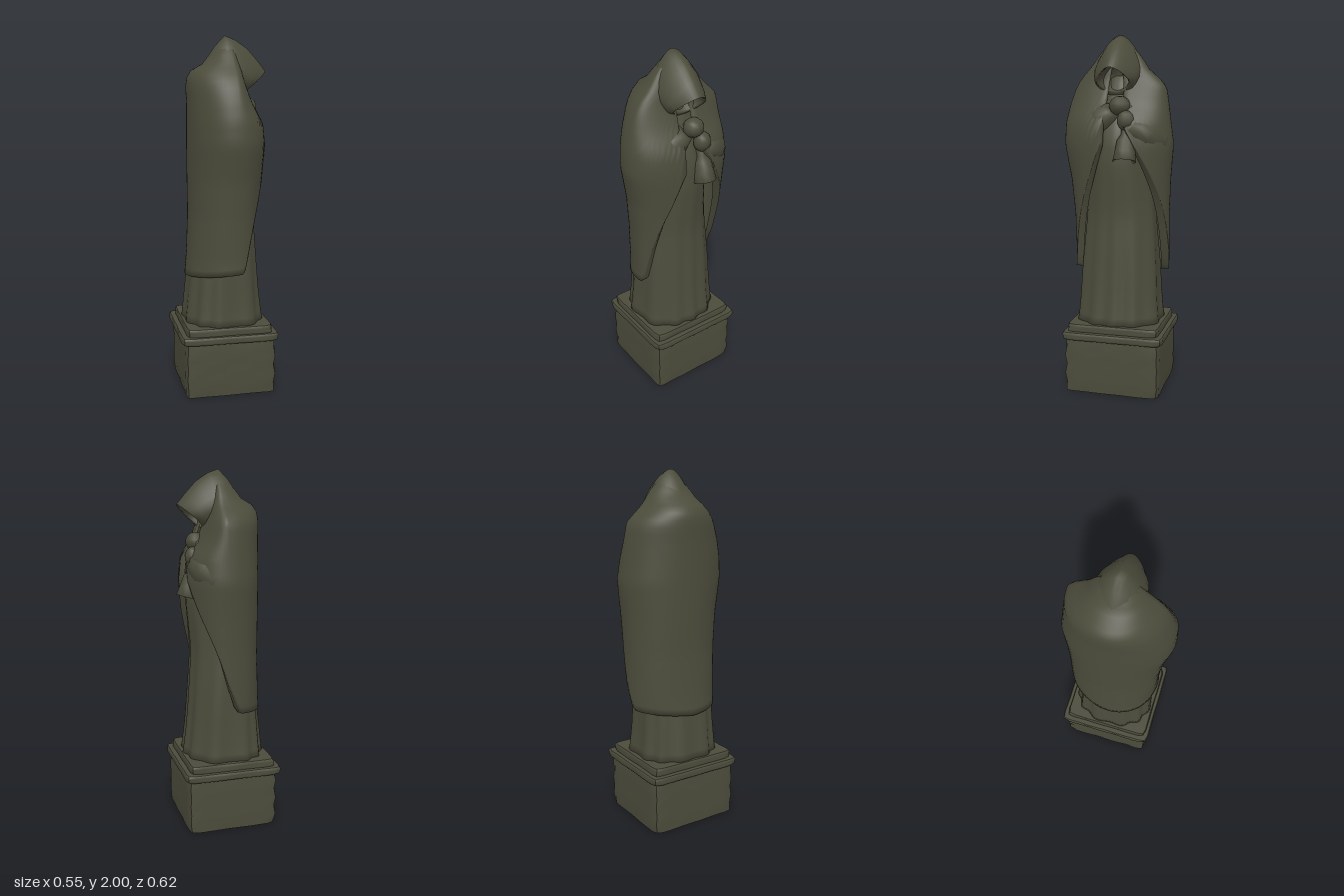
import * as THREE from 'three';

const stone = new THREE.MeshStandardMaterial({ color: 0x4c4c3c, side: THREE.DoubleSide });
stone.name = 'dark stone';

const lerp = THREE.MathUtils.lerp;
const V = (x, y, z) => new THREE.Vector3(x, y, z);

// Linear lookup in a table of [y, ...values]
function sample(keys, y) {
  let i = 0;
  while (i < keys.length - 2 && y > keys[i + 1][0]) i++;
  const t = THREE.MathUtils.clamp((y - keys[i][0]) / (keys[i + 1][0] - keys[i][0]), 0, 1);
  return keys[i].map((v, k) => lerp(v, keys[i + 1][k], t));
}

// Skin over rows of points; closed rows wrap around, caps fill the ends
function loft(rows, closed = true, caps = false) {
  const n = rows[0].length, pos = [], idx = [];
  rows.forEach(r => r.forEach(p => pos.push(p.x, p.y, p.z)));
  for (let j = 0; j < rows.length - 1; j++)
    for (let i = 0; i < (closed ? n : n - 1); i++) {
      const a = j * n + i, b = j * n + (i + 1) % n;
      idx.push(a, a + n, b, b, a + n, b + n);
    }
  if (caps) [0, rows.length - 1].forEach((j, end) => {
    const c = rows[j].reduce((s, p) => s.add(p), V(0, 0, 0)).divideScalar(n);
    const ci = pos.length / 3;
    pos.push(c.x, c.y, c.z);
    for (let i = 0; i < n; i++) {
      const a = j * n + i, b = j * n + (i + 1) % n;
      idx.push(...(end ? [ci, b, a] : [ci, a, b]));
    }
  });
  const g = new THREE.BufferGeometry();
  g.setAttribute('position', new THREE.Float32BufferAttribute(pos, 3));
  g.setIndex(idx);
  g.computeVertexNormals();
  return g;
}

// Point of a body section: [y, xBack, xFront, zRight, zLeft], widest at xw, boxier where a power is below 1
function sectionPoint(k, a, xw, scale, frontPower, backPower) {
  const c = Math.cos(a), s = Math.sin(a) * scale;
  const x = c > 0 ? c ** frontPower * (k[2] - xw) : -((-c) ** backPower) * (xw - k[1]);
  return V(xw + x * scale, k[0], s * (s > 0 ? k[4] : -k[3]));
}

// Weathered stone slab with softened rims and corners
function slab(x0, x1, y0, y1, z0, z1, wear) {
  const g = new THREE.BoxGeometry(x1 - x0, y1 - y0, z1 - z0, 12, 6, 12);
  const p = g.attributes.position;
  const hx = (x1 - x0) / 2, hy = (y1 - y0) / 2, hz = (z1 - z0) / 2;
  for (let i = 0; i < p.count; i++) {
    const x = p.getX(i), y = p.getY(i), z = p.getZ(i);
    const corner = Math.abs(x) > hx * 0.99 && Math.abs(z) > hz * 0.99;
    const rim = Math.abs(y) > hy * 0.99 ? 0.018 : 0;
    const chip = wear * (0.5 + 0.5 * Math.sin(y * 60 + x * 23 + z * 31));
    const w = 1 - rim - chip * 0.5 - (corner ? 0.025 + chip : 0);
    p.setXYZ(i, x * w, y, z * w);
  }
  g.translate(x0 + hx, y0 + hy, z0 + hz);
  g.computeVertexNormals();
  return g;
}

// Tapered limb: stations of [x, y, z, radius]
function limb(stations) {
  const dir = V(...stations.at(-1)).sub(V(...stations[0])).normalize();
  const u = V(0, 1, 0).cross(dir).normalize(), w = dir.clone().cross(u);
  return loft(stations.map(([x, y, z, r]) => Array.from({ length: 14 }, (_, i) => {
    const a = -i / 14 * Math.PI * 2;
    return V(x, y, z).addScaledVector(u, Math.cos(a) * r).addScaledVector(w, Math.sin(a) * r);
  })), true, true);
}

export function createModel() {
  const model = new THREE.Group();
  model.name = 'hoodedStatue';
  const add = (name, g) => {
    const m = new THREE.Mesh(g, stone);
    m.name = name;
    model.add(m);
    return m;
  };

  // Pedestal
  add('pedestalBlock', slab(-0.258, 0.258, 0, 0.315, -0.278, 0.268, 0.02));
  add('pedestalCornice', slab(-0.279, 0.274, 0.305, 0.346, -0.297, 0.281, 0.015));
  add('pedestalStep', slab(-0.247, 0.242, 0.34, 0.388, -0.268, 0.258, 0.015));

  // Long robe with folds deepening towards the floor
  const robe = [
    [0.37, -0.242, 0.235, -0.255, 0.25], [0.43, -0.235, 0.225, -0.245, 0.24],
    [0.55, -0.222, 0.21, -0.235, 0.23], [0.7, -0.205, 0.197, -0.228, 0.222],
    [1.0, -0.165, 0.178, -0.205, 0.195], [1.3, -0.15, 0.205, -0.18, 0.18],
    [1.45, -0.13, 0.19, -0.16, 0.16], [1.58, -0.12, 0.13, -0.15, 0.15],
    [1.7, -0.1, 0.085, -0.1, 0.1], [1.8, -0.08, 0.03, -0.06, 0.06],
  ];
  const robeRows = [];
  for (let j = 0; j <= 24; j++) {
    const y = lerp(0.37, 1.8, j / 24), k = sample(robe, y);
    const power = lerp(0.72, 1, THREE.MathUtils.smoothstep(y, 0.6, 1.3));
    robeRows.push(Array.from({ length: 72 }, (_, i) => {
      const a = i / 72 * Math.PI * 2, depth = 0.07 * Math.max(0.15, 1 - (y - 0.37) / 1.1);
      const fold = 1 - depth * (0.5 - 0.5 * Math.cos(11 * a + Math.sin(3 * a) + y));
      return sectionPoint(k, a, 0, fold, power, power);
    }));
  }
  add('robe', loft(robeRows, true, true));

  // Cloak: drapes from the hood over the shoulders, hem rising towards the open chest
  const cloak = [
    [0.64, -0.222, 0.16, -0.28, 0.262], [0.75, -0.213, 0.175, -0.285, 0.255],
    [1.0, -0.2, 0.2, -0.288, 0.26], [1.2, -0.2, 0.222, -0.295, 0.275],
    [1.4, -0.2, 0.235, -0.31, 0.312], [1.52, -0.2, 0.22, -0.293, 0.306],
    [1.62, -0.2, 0.155, -0.28, 0.285], [1.72, -0.205, 0.115, -0.265, 0.25],
    [1.77, -0.2, 0.1, -0.215, 0.215], [1.81, -0.175, 0.095, -0.17, 0.178],
    [1.84, -0.115, 0.085, -0.15, 0.152], [1.88, -0.085, 0.075, -0.125, 0.125], [1.92, -0.05, 0.06, -0.09, 0.09],
  ];
  const cloakRows = [];
  for (let j = -1; j <= 34; j++)
    cloakRows.push(Array.from({ length: 59 }, (_, i) => {
      const s = THREE.MathUtils.clamp((i - 29) / 28, -1, 1), v = Math.max(0, j) / 34;
      // The right side (s > 0) is swept up earlier than the left
      const rise = s > 0 ? 1.7 * Math.max(0, s - 0.52) : 2.9 * Math.max(0, -s - 0.7) ** 1.2;
      const y = lerp(0.65 + 0.06 * Math.abs(s) + rise, 1.92, v);
      const reach = THREE.MathUtils.degToRad(lerp(150, 169, THREE.MathUtils.smoothstep(y, 0.85, 1.45)));
      const drape = 1 + 0.014 * Math.sin(9 * s + 5 * y) * (1 - v);
      // The border row and columns turn inwards to give the cloth an edge
      const tuck = j < 0 || i === 0 || i === 58 ? 0.84 : 1;
      return sectionPoint(sample(cloak, y), Math.PI + s * reach, 0.03, drape * tuck, 0.85, 0.95);
    }));
  add('cloak', loft(cloakRows, false));

  // Sleeves gathering at the chest
  add('leftSleeve', limb([[0.0, 1.33, 0.22, 0.03], [0.05, 1.42, 0.19, 0.1], [0.1, 1.5, 0.13, 0.1],
    [0.13, 1.555, 0.06, 0.075], [0.15, 1.59, 0.015, 0.048]]));
  add('rightSleeve', limb([[0.02, 1.33, -0.24, 0.03], [0.06, 1.4, -0.21, 0.1], [0.125, 1.46, -0.16, 0.095],
    [0.165, 1.49, -0.12, 0.065], [0.185, 1.505, -0.095, 0.042]]));

  // Clasped hands
  const hand = (name, x, y, z, sx, sy, sz) => {
    const g = new THREE.SphereGeometry(1, 10, 7);
    g.scale(sx, sy, sz);
    add(name, g.translate(x, y, z));
  };
  hand('leftHand', 0.155, 1.61, -0.035, 0.055, 0.053, 0.06);
  hand('rightHand', 0.18, 1.53, -0.075, 0.045, 0.055, 0.05);

  // Held bell with its grip
  const profile = [[0, 0.02], [0.05, 0.015], [0.066, 0], [0.058, 0.05], [0.05, 0.11], [0.03, 0.145],
    [0.025, 0.27], [0.035, 0.3], [0, 0.34]].map(p => new THREE.Vector2(...p));
  const bell = add('bell', new THREE.LatheGeometry(profile, 12));
  bell.position.set(0.21, 1.312, -0.075);
  bell.rotation.z = 0.25;

  // Hood: rings of [xTop, yTop, xBottom, yBottom, halfWidth], the last ones lining the hollow
  const hood = [
    [-0.12, 1.83, -0.11, 1.72, 0.07], [-0.085, 1.88, -0.07, 1.69, 0.13], [-0.04, 1.945, -0.04, 1.67, 0.138],
    [0.015, 2.0, 0.0, 1.66, 0.14], [0.07, 1.98, 0.035, 1.66, 0.137], [0.14, 1.935, 0.065, 1.66, 0.13],
    [0.2, 1.87, 0.09, 1.665, 0.118], [0.25, 1.81, 0.105, 1.68, 0.098], [0.238, 1.812, 0.1, 1.69, 0.085],
    [0.15, 1.84, 0.07, 1.7, 0.075], [0.06, 1.84, 0.03, 1.73, 0.05],
  ];
  add('hood', loft(hood.map(([xt, yt, xb, yb, w]) => Array.from({ length: 28 }, (_, i) => {
    const a = i / 28 * Math.PI * 2, t = 0.5 - 0.5 * Math.cos(a);
    const peak = 0.6 + 0.4 * Math.min(1, t * 1.8);
    return V(lerp(xt, xb, t), lerp(yt, yb, t), -Math.sin(a) * w * peak);
  })), true, true));

  return model;
}
